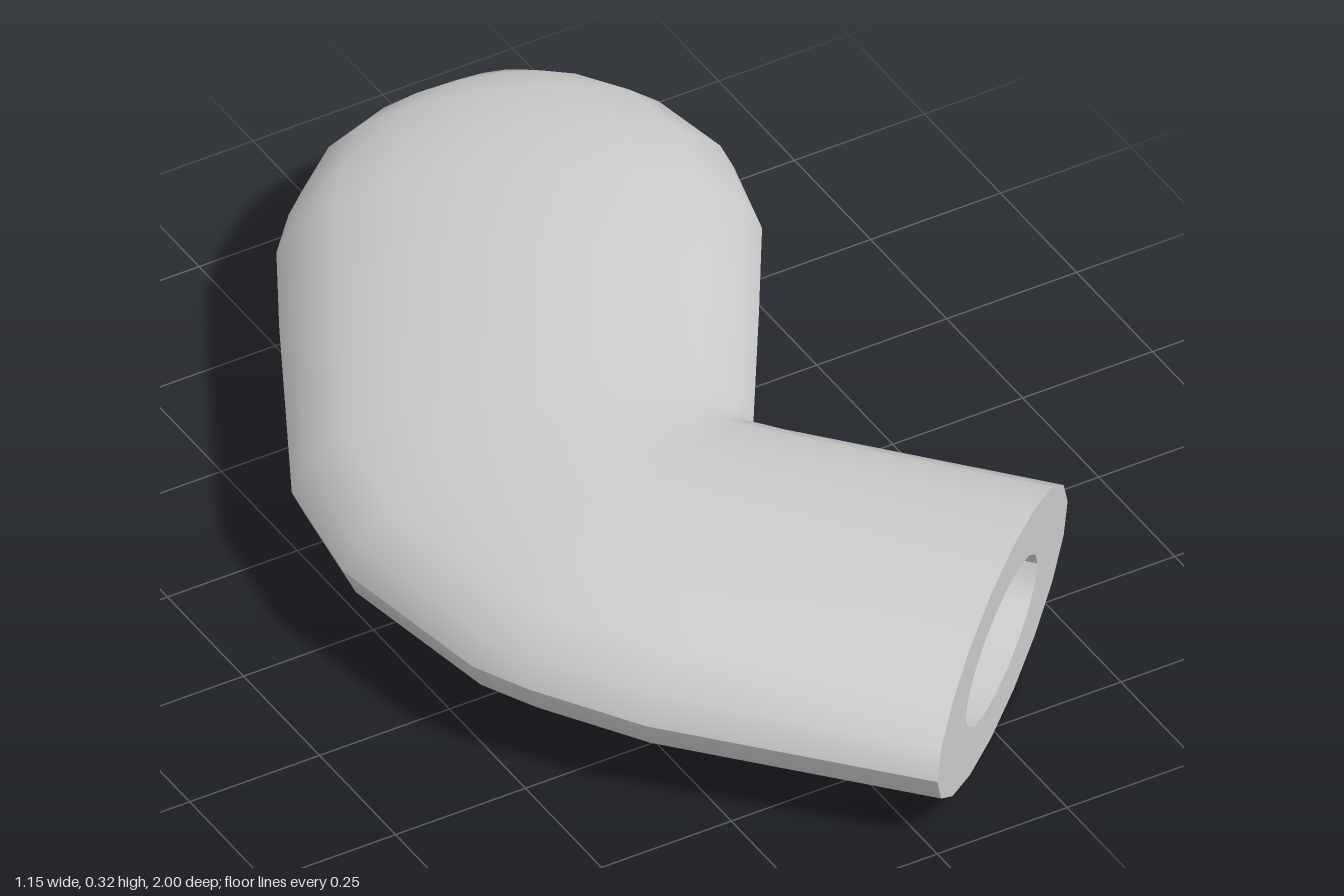
import * as THREE from 'three';
import { toCreasedNormals } from 'three/addons/utils/BufferGeometryUtils.js';

const SIDES = 18;

// Skin a row of oval sections: [leftX, leftZ, rightX, rightZ, centreY, halfHeight]
function loft(sections, crease) {
  const pos = [], index = [];
  for (const [lx, lz, rx, rz, cy, h] of sections) {
    for (let j = 0; j < SIDES; j++) {
      const t = (j / SIDES) * Math.PI * 2;
      const k = (1 + Math.cos(t)) / 2;
      pos.push(lx + (rx - lx) * k, cy + h * Math.sin(t), lz + (rz - lz) * k);
    }
  }
  for (let i = 0; i < sections.length - 1; i++) {
    for (let j = 0; j < SIDES; j++) {
      const a = i * SIDES + j, b = i * SIDES + ((j + 1) % SIDES);
      const c = a + SIDES, d = b + SIDES;
      index.push(a, c, b, b, c, d);
    }
  }
  const g = new THREE.BufferGeometry();
  g.setAttribute('position', new THREE.Float32BufferAttribute(pos, 3));
  g.setIndex(index);
  return toCreasedNormals(g, crease);
}

// Oval section of the bore, a given depth in from the open end
function boreSection(depth, halfWidth, halfHeight) {
  const x = 0.285 - 0.7 * depth, z = 0.725 - 0.71 * depth;
  const dx = 0.72 * halfWidth, dz = -0.694 * halfWidth;
  return [x - dx, z - dz, x + dx, z + dz, 0.155 + 0.02 * depth, halfHeight];
}

export function createModel() {
  const group = new THREE.Group();
  const material = new THREE.MeshStandardMaterial({ color: 0xcccccc });
  const add = (name, sections, crease) => {
    const mesh = new THREE.Mesh(loft(sections, crease), material);
    mesh.name = name;
    group.add(mesh);
  };

  const mouth = [0, 1, 0.573, 0.45, 0.153, 0.153];

  // Short arm, bend and long arm with its rounded end
  add('bentBody', [
    mouth,
    [-0.35, 0.64, 0.24, 0.1, 0.167, 0.153],
    [-0.47, 0.46, 0.21, 0.07, 0.171, 0.153],
    [-0.52, 0.36, 0.2, 0.062, 0.172, 0.153],
    [-0.575, 0.03, 0.197, 0.055, 0.174, 0.153],
    [-0.54, -0.2, 0.22, 0.02, 0.173, 0.153],
    [-0.33, -0.6, 0.38, -0.235, 0.172, 0.151],
    [-0.23, -0.78, 0.5, -0.43, 0.17, 0.149],
    [-0.16, -0.86, 0.545, -0.6, 0.168, 0.139],
    [-0.05, -0.95, 0.52, -0.77, 0.167, 0.113],
    [0.04, -0.985, 0.46, -0.88, 0.167, 0.085],
    [0.13, -0.995, 0.39, -0.965, 0.167, 0.05],
    [0.22, -1, 0.3, -0.99, 0.167, 0.02],
    [0.26, -0.998, 0.26, -0.998, 0.167, 0],
  ], 0.7);

  // Flat ring around the opening
  const lip = boreSection(0, 0.22, 0.085);
  add('endFace', [lip, mouth], 0.5);

  // Stepped hollow, closed at its deep end
  add('bore', [
    boreSection(0.56, 0, 0),
    boreSection(0.55, 0.14, 0.055),
    boreSection(0.34, 0.17, 0.066),
    boreSection(0.33, 0.2, 0.078),
    boreSection(0.17, 0.2, 0.078),
    boreSection(0.16, 0.22, 0.085),
    lip,
  ], 0.6);

  return group;
}
